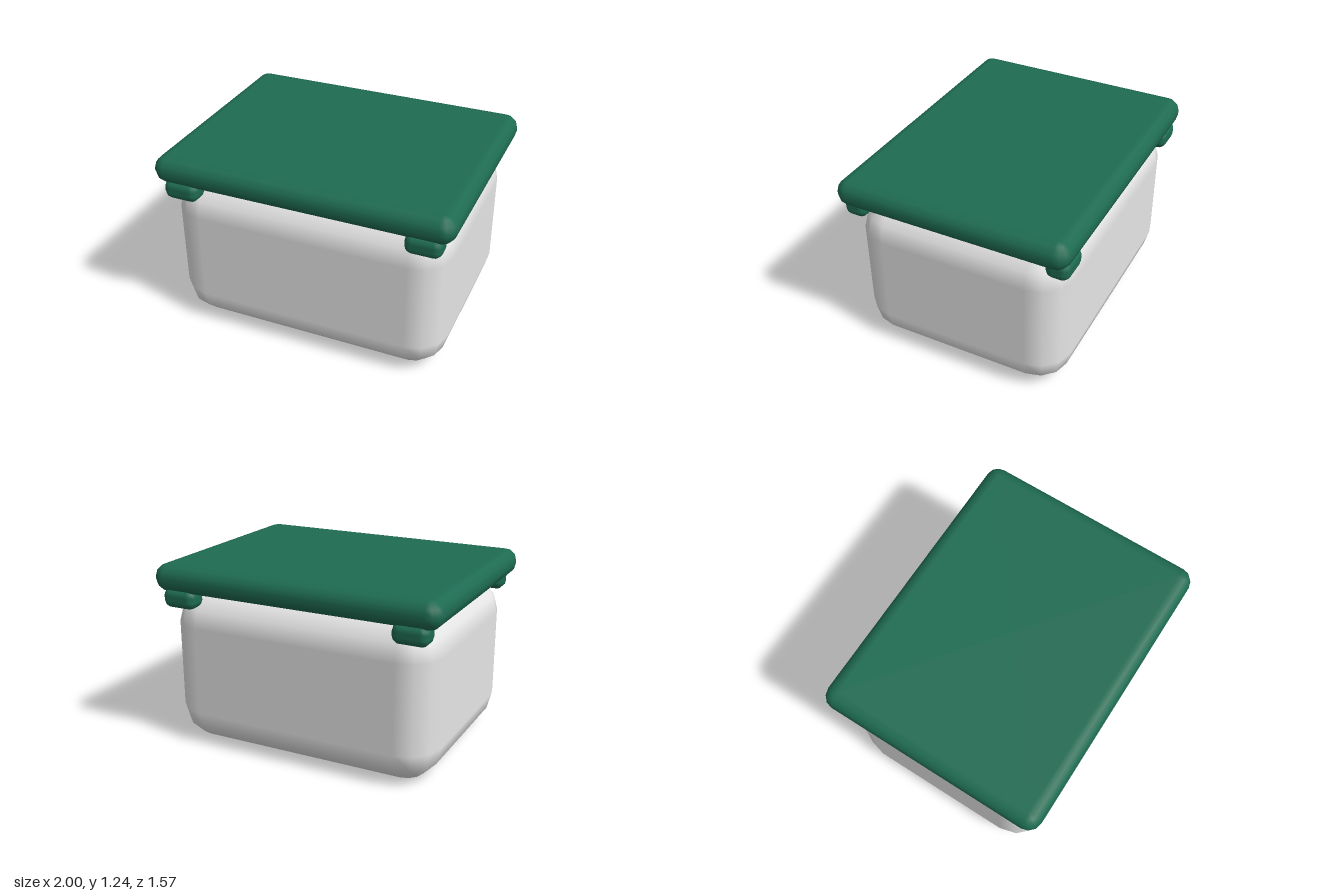
import * as THREE from 'three';

const bodyGrey = new THREE.MeshStandardMaterial({ color: 0xe6e6e6 });
const lidGreen = new THREE.MeshStandardMaterial({ color: 0x1e6b52 });

// Box with rounded edges, three facets per quarter turn: a sphere grid whose
// eight octants are pushed apart to the corners, with the two caps closed.
function roundedBox(w, h, d, r) {
  const cols = 16, rows = 9;
  const geo = new THREE.SphereGeometry(1, cols, rows);
  const pos = geo.attributes.position, nor = geo.attributes.normal;
  const step = Math.PI / 6;
  const n = new THREE.Vector3();
  for (let iy = 0; iy <= rows; iy++) {
    const cap = iy === 0 || iy === rows;
    const upper = iy <= 4;
    const theta = cap ? (upper ? 0 : Math.PI) : (upper ? iy - 1 : iy - 2) * step;
    for (let ix = 0; ix <= cols; ix++) {
      const i = iy * (cols + 1) + ix;
      const quad = Math.floor(ix / 4) % 4;
      const phi = quad * Math.PI / 2 + (ix % 4) * step;
      n.setFromSphericalCoords(1, theta, phi - Math.PI / 2);
      const sx = quad === 0 || quad === 3 ? -1 : 1;
      const sz = quad < 2 ? 1 : -1;
      const k = cap ? 0 : 1;
      pos.setXYZ(i,
        n.x * r + k * sx * (w / 2 - r),
        n.y * r + (upper ? 1 : -1) * (h / 2 - r),
        n.z * r + k * sz * (d / 2 - r));
      nor.setXYZ(i, n.x, n.y, n.z);
    }
  }
  return geo;
}

export function createModel() {
  const group = new THREE.Group();
  const add = (name, geo, mat, x, y, z) => {
    const mesh = new THREE.Mesh(geo, mat);
    mesh.name = name;
    mesh.position.set(x, y, z);
    group.add(mesh);
  };

  // Container
  add('body', roundedBox(1.88, 1.055, 1.452, 0.229), bodyGrey, 0, 0.5275, 0);

  // Overhanging lid
  add('lid', roundedBox(2, 0.185, 1.57, 0.09), lidGreen, 0, 1.1475, 0);

  // Corner clips under the lid
  const clip = roundedBox(0.236, 0.13, 0.155, 0.05);
  for (const [sx, side] of [[1, 'Left'], [-1, 'Right']]) {
    for (const [sz, end] of [[1, 'front'], [-1, 'back']]) {
      add(end + side + 'Clip', clip, lidGreen, sx * 0.811, 1.02, sz * 0.692);
    }
  }
  return group;
}
